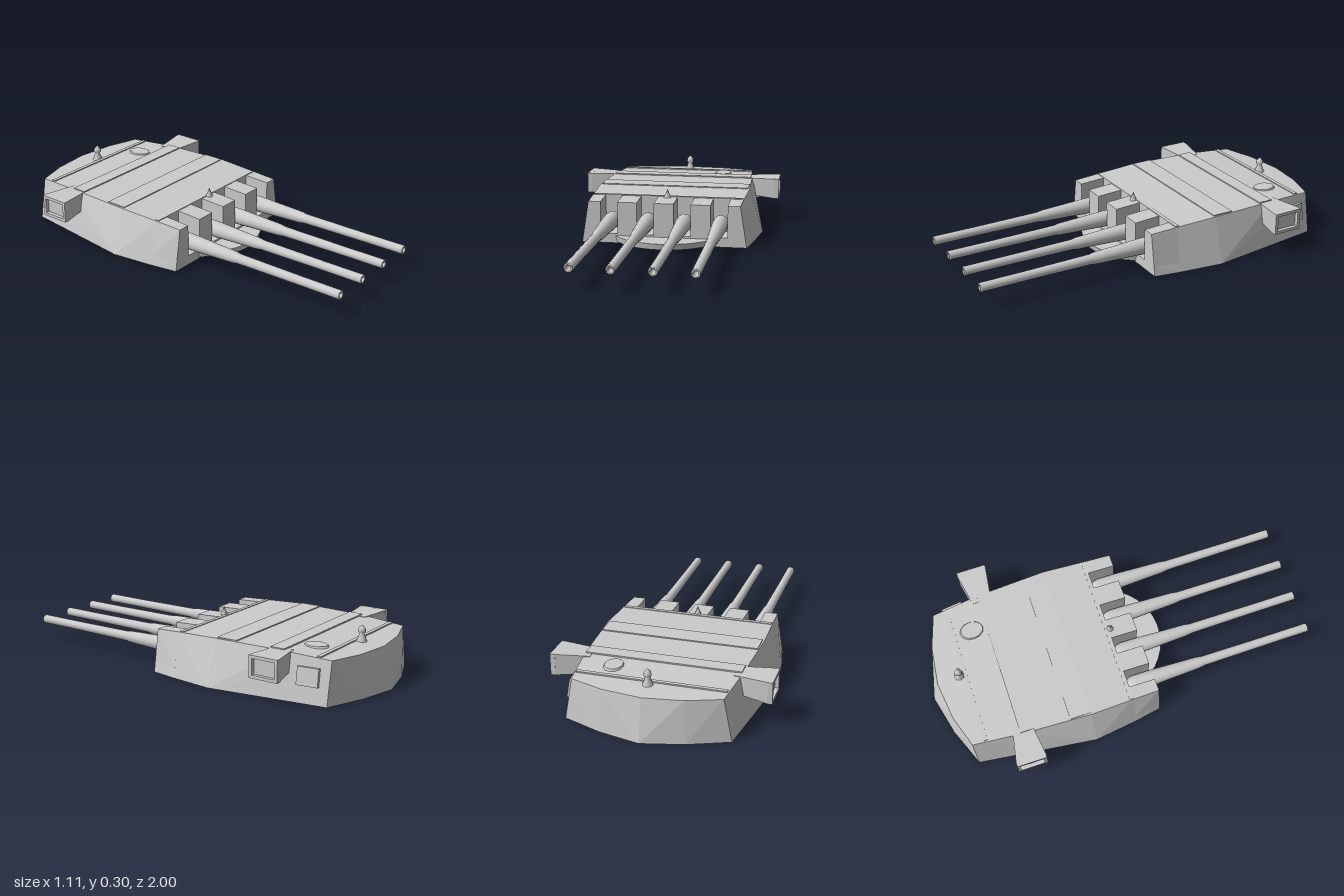
import * as THREE from 'three';
import { ConvexGeometry } from 'three/addons/geometries/ConvexGeometry.js';

const V = (x, y, z) => new THREE.Vector3(x, y, z);
// Mirror a list of [x, y, z] points across x = 0
const mirrored = (pts) => pts.flatMap(([x, y, z]) => [V(x, y, z), V(-x, y, z)]);

export function createModel() {
  const model = new THREE.Group();
  const grey = new THREE.MeshStandardMaterial({ color: 0xcccccc });
  grey.name = 'light grey';

  const add = (name, geometry, x = 0, y = 0, z = 0, parent = model) => {
    const mesh = new THREE.Mesh(geometry, grey);
    mesh.name = name;
    mesh.position.set(x, y, z);
    parent.add(mesh);
    return mesh;
  };

  const back = -0.02, front = 0.12; // depth range of the gun slots

  // Armoured house: sloping sides, bowed rear, slightly crowned roof
  add('house', new ConvexGeometry(mirrored([
    [0.46, 0, back], [0.49, 0, -0.25], [0.41, 0, -0.87], [0.21, 0, -0.95], [0.001, 0, -1],
    [0.405, 0.226, back], [0.415, 0.234, -0.25], [0.397, 0.231, -0.62],
    [0.37, 0.217, -0.87], [0.2, 0.214, -0.925], [0.001, 0.212, -0.95],
  ])));

  // Front wall below the slots
  add('frontSill', new ConvexGeometry(mirrored([
    [0.46, 0, back], [0.435, 0, front], [0.448, 0.05, back], [0.427, 0.05, front],
  ])));

  // Wall sections standing between and outside the gun slots
  const gunX = [-0.29, -0.097, 0.097, 0.29];
  const slot = 0.045;
  const pier = (inner, lowBack, lowFront = lowBack, topBack = lowBack, topFront = lowBack) => {
    add('frontPier', new ConvexGeometry([
      V(inner, 0.05, back), V(inner, 0.05, front), V(inner, 0.226, back), V(inner, 0.22, front),
      V(lowBack, 0.05, back), V(lowFront, 0.05, front), V(topBack, 0.226, back), V(topFront, 0.22, front),
    ]));
  };
  for (let i = 0; i < 3; i++) pier(gunX[i] + slot, gunX[i + 1] - slot);
  for (const s of [1, -1]) pier(s * (gunX[3] + slot), s * 0.448, s * 0.427, s * 0.405, s * 0.4);

  // Round apron under the guns
  add('apron', new THREE.CylinderGeometry(0.305, 0.298, 0.032, 40), 0, 0.024, -0.045);

  // Tapered barrels with rounded breech and hollow muzzle
  const profile = [
    [0, 0], [0.022, 0.006], [0.036, 0.02], [0.043, 0.045], [0.042, 0.14], [0.037, 0.25],
    [0.031, 0.4], [0.026, 0.43], [0.023, 0.8], [0.023, 1.015], [0.021, 1.02],
    [0.013, 1.02], [0.012, 0.97], [0, 0.97],
  ].map(([r, h]) => new THREE.Vector2(r, h));
  const barrel = new THREE.LatheGeometry(profile, 16).rotateX(Math.PI / 2 - 0.008);
  for (const x of gunX) add('gunBarrel', barrel, x, 0.105, back);

  // Overlapping roof plates
  const strips = [[-0.305, 0.11, 0.405, 0.235], [-0.585, 0.075, 0.392, 0.234], [-0.8, 0.02, 0.37, 0.223]];
  for (const [z, depth, half, y] of strips) {
    add('roofStrip', new THREE.BoxGeometry(half * 2, 0.008, depth), 0, y, z);
  }
  add('roofFrontSeam', new THREE.BoxGeometry(0.8, 0.008, 0.02), 0, 0.226, -0.03);
  const hatch = add('roofHatch', new THREE.CylinderGeometry(0.045, 0.05, 0.01, 12), 0.22, 0.229, -0.7);
  hatch.scale.z = 1.3;

  // Flared rangefinder arms with a recessed end
  for (const s of [1, -1]) {
    const arm = new THREE.Group();
    arm.name = 'rangefinderArm';
    model.add(arm);
    add('armHousing', new ConvexGeometry([
      [0.36, 0.14, -0.555], [0.36, 0.14, -0.655], [0.36, 0.232, -0.555], [0.36, 0.232, -0.655],
      [0.535, 0.122, -0.532], [0.535, 0.122, -0.688], [0.535, 0.235, -0.532], [0.535, 0.235, -0.688],
    ].map(([x, y, z]) => V(s * x, y, z))), 0, 0, 0, arm);
    for (const y of [0.13, 0.227]) {
      add('endFrame', new THREE.BoxGeometry(0.025, 0.016, 0.156), s * 0.5425, y, -0.61, arm);
    }
    for (const z of [-0.54, -0.68]) {
      add('endFrame', new THREE.BoxGeometry(0.025, 0.113, 0.016), s * 0.5425, 0.1785, z, arm);
    }
  }

  // Small side locker on the left flank behind the arm
  const locker = add('sideLocker', new THREE.BoxGeometry(0.03, 0.09, 0.11), 0.403, 0.13, -0.765);
  locker.rotation.set(0, 0.12, 0.17);

  // Rear sighting post and small front knob on the roof
  const post = [[0.03, 0], [0.012, 0.045], [0.02, 0.055], [0.018, 0.07], [0.007, 0.085], [0, 0.09]]
    .map(([r, h]) => new THREE.Vector2(r, h));
  add('rearSight', new THREE.LatheGeometry(post, 8), 0.006, 0.212, -0.83);
  add('frontKnob', new THREE.ConeGeometry(0.02, 0.05, 8), 0, 0.247, -0.012);

  return model;
}
